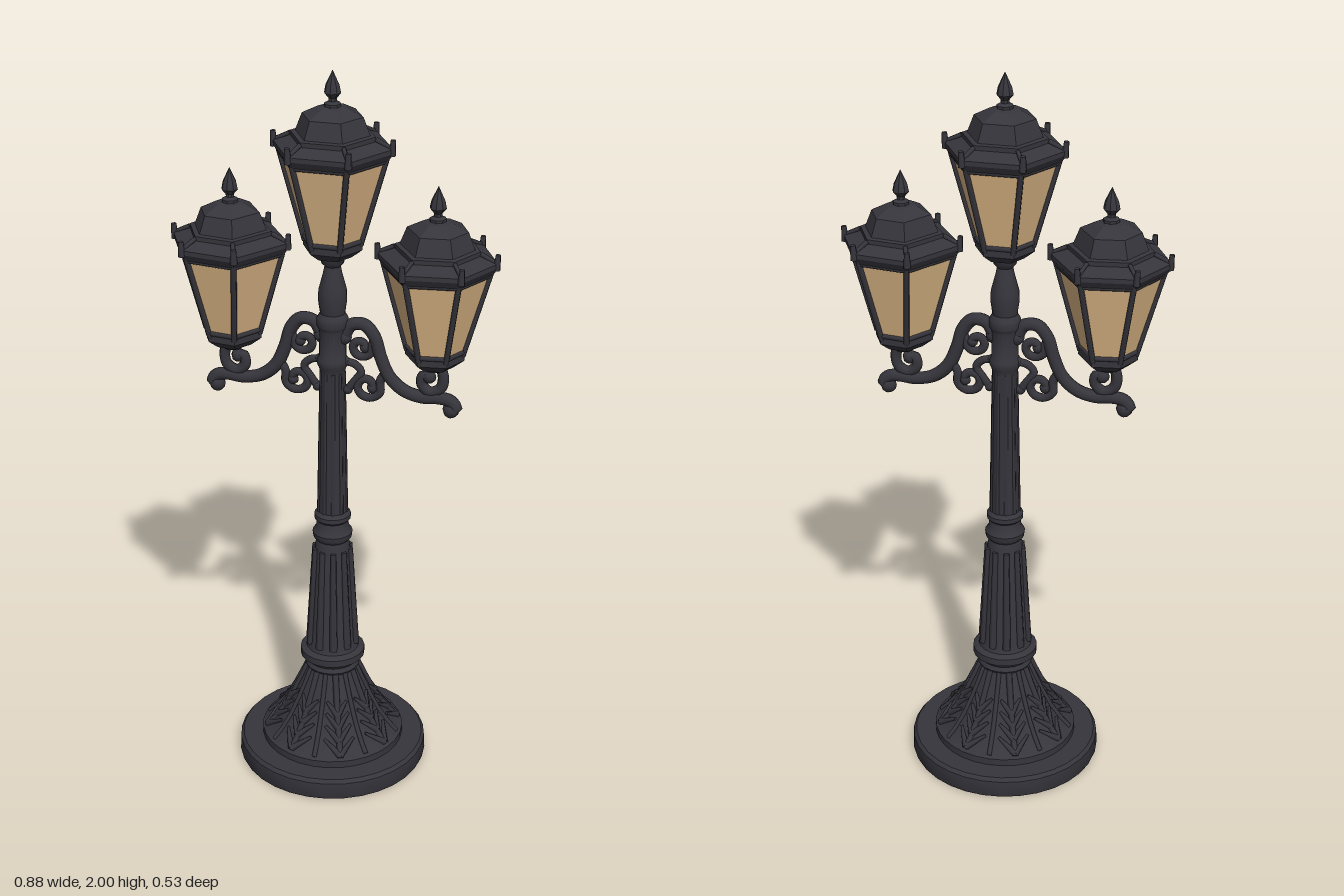
import * as THREE from 'three';
import { toCreasedNormals } from 'three/addons/utils/BufferGeometryUtils.js';

const iron = new THREE.MeshStandardMaterial({ color: 0x36353c });
iron.name = 'dark iron';
const glass = new THREE.MeshStandardMaterial({ color: 0xdeb887 });
glass.name = 'amber glass';

const V = (x, y, z = 0) => new THREE.Vector3(x, y, z);

function add(parent, name, geo, mat = iron) {
  const mesh = new THREE.Mesh(geo, mat);
  mesh.name = name;
  parent.add(mesh);
  return mesh;
}

// Turned part from [radius, height] points, bottom to top
function turned(profile, sides = 24) {
  const pts = profile.map(([r, y]) => new THREE.Vector2(r, y));
  return toCreasedNormals(new THREE.LatheGeometry(pts, sides), 0.6);
}

// Faceted loft: the corner angles swept through [radius, height] points
function faceted(profile, angles) {
  const pos = [];
  const at = (k, i) => {
    const [r, y] = profile[k], t = angles[i % angles.length];
    return [r * Math.cos(t), y, r * Math.sin(t)];
  };
  for (let k = 0; k < profile.length - 1; k++) {
    for (let i = 0; i < angles.length; i++) {
      const a = at(k, i), b = at(k, i + 1), c = at(k + 1, i + 1), d = at(k + 1, i);
      if (profile[k + 1][0] > 0) pos.push(...a, ...d, ...c);
      if (profile[k][0] > 0) pos.push(...a, ...(profile[k + 1][0] > 0 ? c : d), ...b);
    }
  }
  const geo = new THREE.BufferGeometry();
  geo.setAttribute('position', new THREE.Float32BufferAttribute(pos, 3));
  geo.computeVertexNormals();
  return geo;
}

// Straight bar between two points
function bar(parent, name, a, b, r, rEnd = r, sides = 6) {
  const mesh = add(parent, name, new THREE.CylinderGeometry(rEnd, r, a.distanceTo(b), sides));
  mesh.position.copy(a).add(b).multiplyScalar(0.5);
  mesh.quaternion.setFromUnitVectors(V(0, 1, 0), b.clone().sub(a).normalize());
}

// Curved iron rod with rounded ends
function rod(parent, name, points, r) {
  const pts = points.map(([x, y]) => V(x, y));
  add(parent, name, new THREE.TubeGeometry(new THREE.CatmullRomCurve3(pts), points.length * 5, r, 8));
  for (const p of [pts[0], pts[pts.length - 1]]) {
    add(parent, name + 'End', new THREE.SphereGeometry(r * 1.25, 8, 6)).position.copy(p);
  }
}

// Points of a spiral winding inward
function spiral(cx, cy, r, start, turn, n = 9) {
  return Array.from({ length: n }, (_, i) => {
    const t = i / (n - 1), a = start + turn * t, rr = r * (1 - 0.65 * t);
    return [cx + rr * Math.cos(a), cy + rr * Math.sin(a)];
  });
}

// Lantern, with y = 0 at the eave
function lantern(degrees) {
  const g = new THREE.Group();
  g.name = 'lantern';
  const angles = degrees.map((d) => THREE.MathUtils.degToRad(d));
  add(g, 'glassPanes', faceted([[0.072, -0.25], [0.139, -0.015]], angles), glass);
  add(g, 'lanternRoof', faceted([[0, -0.018], [0.146, -0.018], [0.158, 0], [0.158, 0.012],
    [0.112, 0.028], [0.112, 0.04], [0.098, 0.042], [0.08, 0.088], [0.04, 0.108], [0, 0.115]], angles));
  add(g, 'lanternFoot', faceted([[0, -0.285], [0.05, -0.285], [0.072, -0.268],
    [0.079, -0.262], [0.079, -0.243], [0, -0.24]], angles));
  add(g, 'finial', turned([[0.022, 0.105], [0.022, 0.118], [0.011, 0.124], [0.011, 0.132],
    [0.022, 0.145], [0.018, 0.165], [0.007, 0.188], [0, 0.203]], 8));
  for (const a of angles) {
    const p = (r, y) => V(r * Math.cos(a), y, r * Math.sin(a));
    bar(g, 'cornerBar', p(0.074, -0.25), p(0.141, -0.012), 0.008);
    bar(g, 'roofRib', p(0.112, 0.034), p(0.156, 0.012), 0.006);
    bar(g, 'cornerKnob', p(0.154, -0.005), p(0.157, 0.036), 0.01, 0.007);
  }
  // Rails along the top and bottom of the panes
  angles.forEach((a, i) => {
    const b = angles[(i + 1) % angles.length];
    for (const [r, y] of [[0.138, -0.02], [0.076, -0.238]]) {
      bar(g, 'paneRail', V(r * Math.cos(a), y, r * Math.sin(a)), V(r * Math.cos(b), y, r * Math.sin(b)), 0.007);
    }
  });
  return g;
}

// Scrolled bracket reaching out along +x
function bracket() {
  const g = new THREE.Group();
  g.name = 'bracket';
  rod(g, 'arm', [[0.03, 1.29], [0.05, 1.325], [0.085, 1.33], [0.113, 1.3], [0.13, 1.245],
    [0.155, 1.19], [0.195, 1.155], [0.245, 1.142], [0.29, 1.145], [0.32, 1.14], [0.335, 1.12], [0.322, 1.115]], 0.018);
  rod(g, 'lanternScroll', [[0.275, 1.25], [0.298, 1.215], [0.294, 1.175], [0.265, 1.16],
    [0.242, 1.18], [0.247, 1.205], [0.262, 1.203]], 0.015);
  rod(g, 'upperScroll', [[0.115, 1.29], ...spiral(0.077, 1.265, 0.032, 0.3, -6.5)], 0.012);
  rod(g, 'lowerScroll', [[0.145, 1.2], ...spiral(0.095, 1.155, 0.04, 0.5, -7)], 0.012);
  rod(g, 'wallScroll', [[0.035, 1.22], [0.06, 1.215], [0.078, 1.195], [0.06, 1.165], [0.042, 1.14]], 0.011);
  add(g, 'lanternCup', turned([[0, 1.225], [0.025, 1.225], [0.03, 1.24], [0.052, 1.262]], 10)).position.x = 0.275;
  return g;
}

export function createModel() {
  const model = new THREE.Group();
  model.name = 'streetLamp';

  add(model, 'baseDisc', turned([[0, 0], [0.262, 0], [0.266, 0.01], [0.264, 0.05], [0.256, 0.06], [0, 0.06]], 32));
  const bell = [[0.19, 0.085], [0.165, 0.11], [0.135, 0.15], [0.108, 0.2], [0.085, 0.25], [0.07, 0.285]];
  add(model, 'bellFoot', turned([[0.2, 0.058], [0.2, 0.08], ...bell], 32));

  // Leaf relief around the bell: a centre rib with slanting veins
  const bellPoint = (y, a, lift = 0) => {
    const i = Math.max(1, bell.findIndex((p) => p[1] >= y));
    const [r0, y0] = bell[i - 1], [r1, y1] = bell[i];
    const r = r0 + (r1 - r0) * (y - y0) / (y1 - y0) + lift;
    return V(r * Math.cos(a), y, r * Math.sin(a));
  };
  for (let k = 0; k < 8; k++) {
    const a = (k + 0.5) * Math.PI / 4, edge = a + Math.PI / 8;
    for (let i = 0; i < bell.length - 1; i++) {
      const y0 = bell[i][1], y1 = bell[i + 1][1];
      bar(model, 'leafRib', bellPoint(y0, a), bellPoint(y1, a), 0.009);
      bar(model, 'leafBorder', bellPoint(y0, edge), bellPoint(y1, edge), 0.007);
    }
    for (const y of [0.09, 0.12, 0.15, 0.18]) {
      for (const s of [-1, 1]) {
        bar(model, 'leafVein', bellPoint(y, a, 0.002), bellPoint(y + 0.035, a + s * 0.27, 0.002), 0.01, 0.004);
      }
    }
  }

  // Turned post from the lower collar to the top lantern
  add(model, 'post', turned([[0.07, 0.28], [0.076, 0.29], [0.07, 0.302], [0.076, 0.312], [0.09, 0.32],
    [0.09, 0.34], [0.074, 0.348], [0.066, 0.37], [0.048, 0.67], [0.044, 0.685], [0.053, 0.695], [0.055, 0.71],
    [0.045, 0.725], [0.043, 0.745], [0.05, 0.752], [0.05, 0.765], [0.041, 0.775], [0.034, 1.19], [0.036, 1.2],
    [0.041, 1.21], [0.041, 1.225], [0.036, 1.235], [0.036, 1.31], [0.042, 1.32], [0.042, 1.34], [0.033, 1.355],
    [0.038, 1.39], [0.037, 1.42], [0.025, 1.465], [0.021, 1.485], [0.03, 1.495], [0.033, 1.51], [0.055, 1.53]], 20));
  for (let k = 0; k < 10; k++) {
    const a = k * Math.PI / 5, p = (r, y) => V(r * Math.cos(a), y, r * Math.sin(a));
    bar(model, 'flute', p(0.065, 0.36), p(0.05, 0.66), 0.012, 0.008);
    bar(model, 'upperFlute', p(0.037, 0.775), p(0.03, 1.19), 0.007, 0.006);
  }

  const top = lantern([0, 60, 120, 180, 240, 300]);
  top.position.y = 1.797;
  model.add(top);

  // Side lanterns on their brackets
  for (const turn of [0, Math.PI]) {
    const side = new THREE.Group();
    side.name = turn ? 'rightArm' : 'leftArm';
    const lamp = lantern([0, 54, 111, 180, 249, 306]);
    lamp.position.set(0.275, 1.522, 0);
    side.add(bracket(), lamp);
    side.rotation.y = turn;
    model.add(side);
  }
  return model;
}
